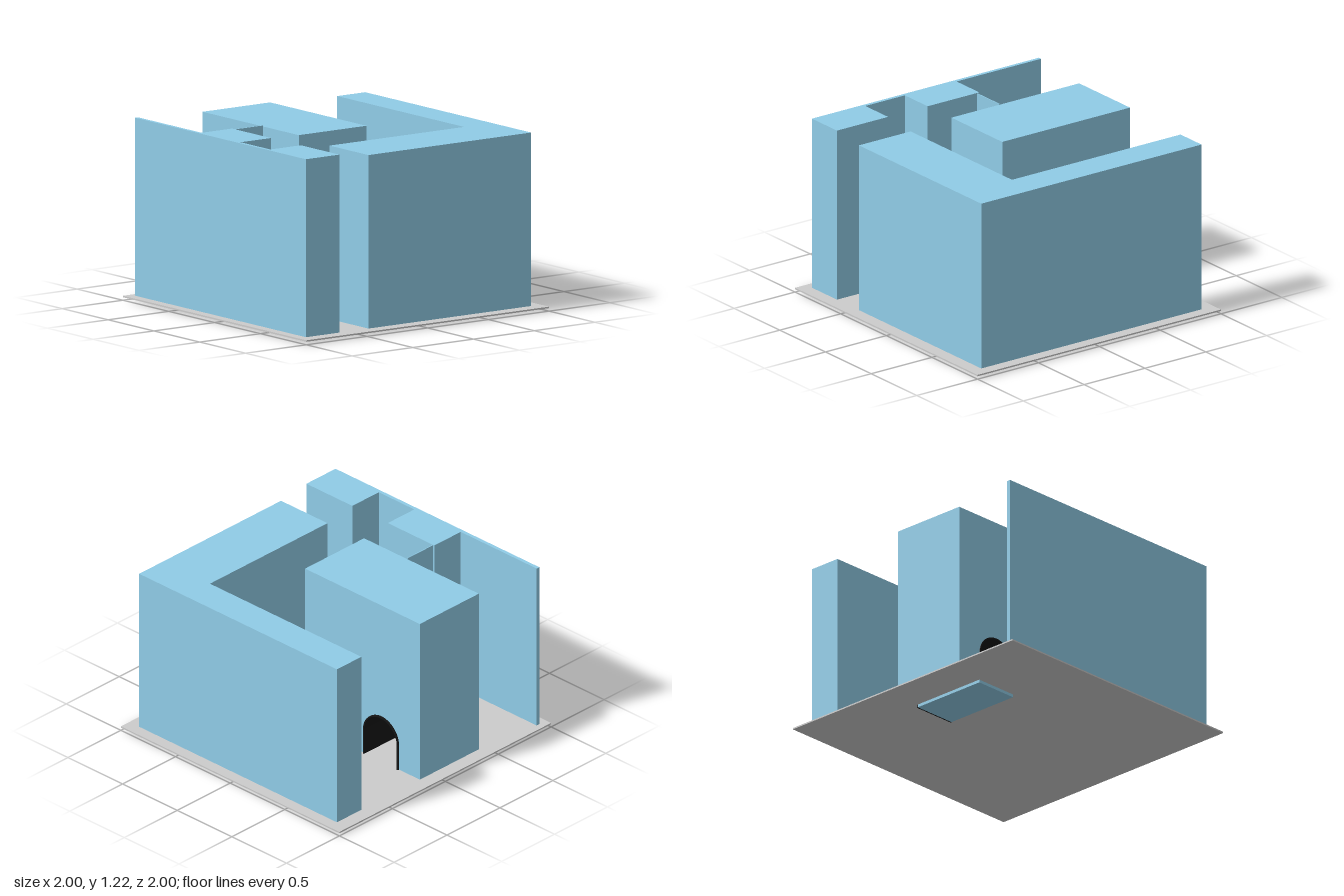
import * as THREE from 'three';

const blue = new THREE.MeshStandardMaterial({ color: 0x90cce7, flatShading: true });
const black = new THREE.MeshStandardMaterial({ color: 0x151515, side: THREE.DoubleSide });
const grey = new THREE.MeshStandardMaterial({ color: 0xcccccc });
const GROUND = 0.03;

function add(group, name, geometry, material) {
  const mesh = new THREE.Mesh(geometry, material);
  mesh.name = name;
  group.add(mesh);
  return mesh;
}

// Box from its minimum and maximum corners.
function box([x0, y0, z0], [x1, y1, z1]) {
  return new THREE.BoxGeometry(x1 - x0, y1 - y0, z1 - z0)
    .translate((x0 + x1) / 2, (y0 + y1) / 2, (z0 + z1) / 2);
}

// Raises a floor-plan outline of [x, z] points from the ground to the given height.
function raisePlan(points, top) {
  const shape = new THREE.Shape(points.map(([x, z]) => new THREE.Vector2(x, -z)));
  return new THREE.ExtrudeGeometry(shape, { depth: top - GROUND, bevelEnabled: false })
    .rotateX(-Math.PI / 2).translate(0, GROUND, 0);
}

// Adds a round-headed outline to a path, from its right foot over to its left foot.
function archOver(path, centre, radius, spring) {
  path.lineTo(centre + radius, GROUND);
  path.lineTo(centre + radius, spring);
  path.absarc(centre, spring, radius, 0, Math.PI, false);
  path.lineTo(centre - radius, GROUND);
}

// Extrudes a side profile (u = -z, y) along x.
function alongX(shape, x0, x1) {
  return new THREE.ExtrudeGeometry(shape, { depth: x1 - x0, bevelEnabled: false, curveSegments: 24 })
    .rotateY(Math.PI / 2).translate(x0, 0, 0);
}

export function createModel() {
  const model = new THREE.Group();
  model.name = 'courtyardBlocks';

  add(model, 'groundSlab', box([-1, 0.02, -1], [1, GROUND, 1]), grey);

  // L-shaped building along the front and the left side
  add(model, 'cornerBuilding', raisePlan([
    [-0.42, 0.91], [0.92, 0.91], [0.92, -0.9], [0.69, -0.9], [0.69, 0.485], [-0.42, 0.485],
  ], 1.19), blue);

  // Row with a recess, ending in a thin boundary wall
  add(model, 'sideBuilding', raisePlan([
    [-0.935, 0.91], [-0.66, 0.91], [-0.66, 0.49], [-0.91, 0.49], [-0.91, 0.165], [-0.66, 0.165],
    [-0.66, -0.26], [-0.91, -0.26], [-0.91, -0.955], [-0.935, -0.955],
  ], 1.22), blue);
  add(model, 'recessFloor', box([-0.91, GROUND, 0.165], [-0.66, 0.036, 0.49]), blue);
  add(model, 'linkingScreen', box([-0.66, GROUND, -0.247], [-0.42, 1.216, -0.241]), blue);

  // Central building with an arched passage
  const centre = 0.55, radius = 0.16, spring = 0.21;
  const profile = new THREE.Shape();
  profile.moveTo(-0.15, GROUND);
  profile.lineTo(centre - radius, GROUND);
  profile.lineTo(centre - radius, spring);
  profile.absarc(centre, spring, radius, Math.PI, 0, true);
  profile.lineTo(centre + radius, GROUND);
  profile.lineTo(0.9, GROUND);
  profile.lineTo(0.9, 1.21);
  profile.lineTo(-0.15, 1.21);
  add(model, 'centralBuilding', alongX(profile, -0.42, 0.137), blue);

  // Dark passage lining, standing slightly proud at both ends
  const lining = new THREE.Shape();
  lining.moveTo(centre + radius - 0.01, GROUND);
  archOver(lining, centre, radius, spring);
  lining.lineTo(centre - radius + 0.01, GROUND);
  lining.lineTo(centre - radius + 0.01, spring);
  lining.absarc(centre, spring, radius - 0.01, Math.PI, 0, true);
  add(model, 'passageLining', alongX(lining, -0.424, 0.149), black);

  // Passage footing below the slab
  add(model, 'passageFooting', box([-0.42, 0, -0.71], [0.14, 0.02, -0.39]), blue);
  add(model, 'footingEnd', box([0.14, 0, -0.71], [0.149, 0.02, -0.39]), black);

  // Dark arched door on the courtyard face of the corner building
  const door = new THREE.Shape();
  door.moveTo(0.22, GROUND);
  archOver(door, 0.315, 0.095, 0.18);
  add(model, 'courtyardDoor', new THREE.ExtrudeGeometry(door, { depth: 0.008, bevelEnabled: false })
    .translate(0, 0, 0.478), black);

  return model;
}
